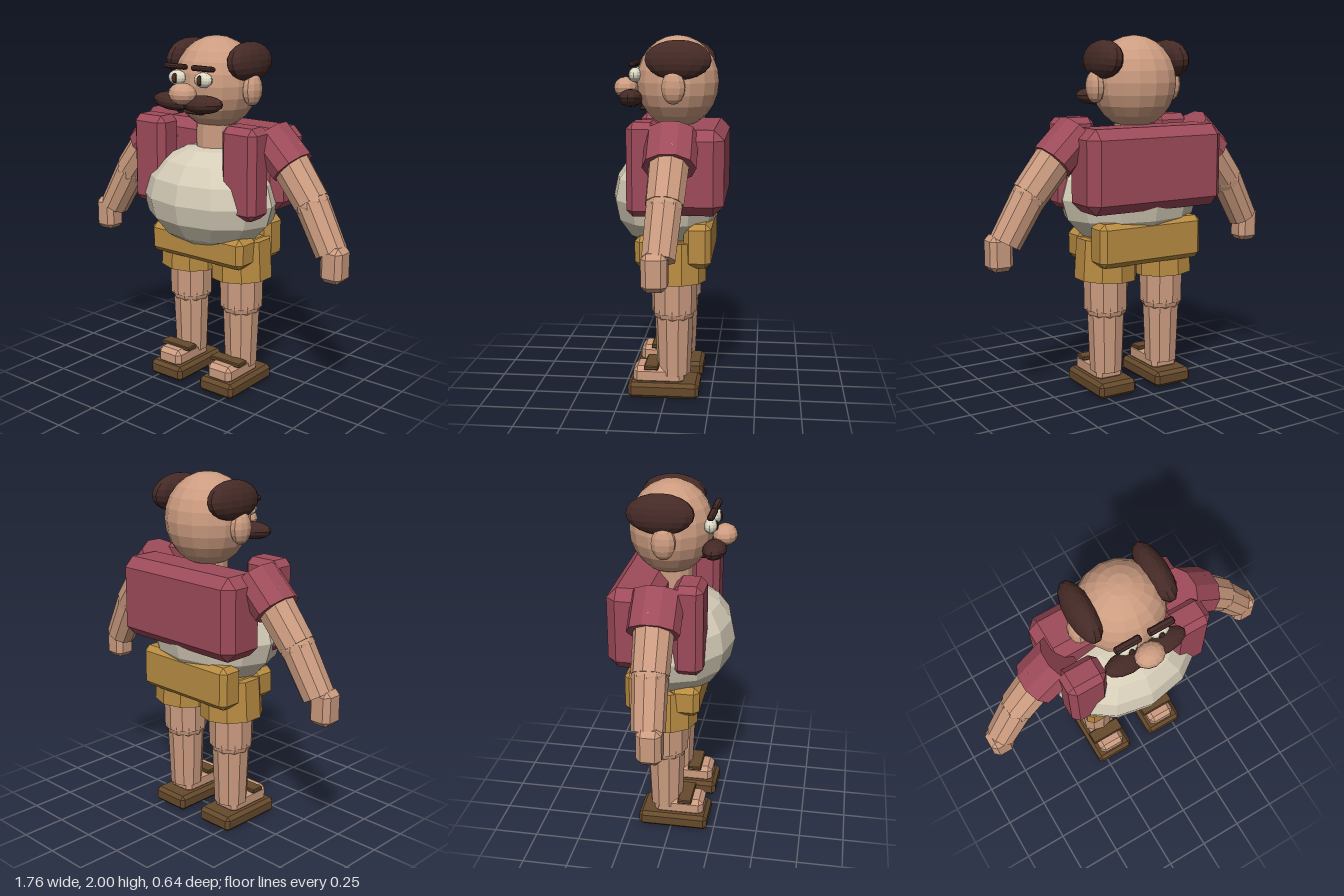
import * as THREE from 'three';
import { ConvexGeometry } from 'three/addons/geometries/ConvexGeometry.js';

const mat = (name, color) => {
  const m = new THREE.MeshStandardMaterial({ color });
  m.name = name;
  return m;
};

// Give every face its own flat normal
function facet(geometry) {
  const g = geometry.index ? geometry.toNonIndexed() : geometry;
  g.computeVertexNormals();
  return g;
}

// Box given by its bounds, with bevelled edges
function bevelBox(x, y, z, bevel) {
  const mid = [x, y, z].map(([a, b]) => (a + b) / 2);
  const half = [x, y, z].map(([a, b]) => Math.abs(b - a) / 2);
  const pts = [];
  for (const sx of [-1, 1]) for (const sy of [-1, 1]) for (const sz of [-1, 1])
    for (let k = 0; k < 3; k++) {
      const p = [sx, sy, sz].map((s, i) => s * (half[i] - (i === k ? 0 : bevel)));
      pts.push(new THREE.Vector3(...p));
    }
  return facet(new ConvexGeometry(pts)).translate(...mid);
}

function ellipsoid(center, radii, w = 12, h = 8, tilt = 0) {
  const g = new THREE.SphereGeometry(1, w, h).scale(...radii).rotateZ(tilt).translate(...center);
  return facet(g);
}

// Tapered limb from point a to point b, optionally deeper along z
function limb(a, b, ra, rb, sides = 10, depth = 1) {
  const A = new THREE.Vector3(...a), B = new THREE.Vector3(...b);
  const dir = B.clone().sub(A), len = dir.length();
  const g = new THREE.CylinderGeometry(rb, ra, len, sides).scale(1, 1, depth);
  g.applyQuaternion(new THREE.Quaternion().setFromUnitVectors(new THREE.Vector3(0, 1, 0), dir.normalize()));
  const c = A.add(B).multiplyScalar(0.5);
  return facet(g.translate(c.x, c.y, c.z));
}

export function createModel() {
  const root = new THREE.Group();
  root.name = 'stoutMan';
  const skin = mat('skin', 0xcc9c80);
  const red = mat('vest red', 0x9e4b5a);
  const cream = mat('shirt cream', 0xd6cdb8);
  const gold = mat('shorts gold', 0xb98c42);
  const hair = mat('hair brown', 0x452a26);
  const leather = mat('sandal brown', 0x664a2c);
  const white = mat('eye white', 0xdcd8c4);
  const dark = mat('pupil brown', 0x4a2c20);

  const add = (name, geometry, material) => {
    const m = new THREE.Mesh(geometry, material);
    m.name = name;
    root.add(m);
  };

  // Head and face
  add('head', ellipsoid([0, 1.745, -0.04], [0.24, 0.255, 0.23], 16, 12), skin);
  add('neck', limb([0, 1.38, -0.03], [0, 1.56, -0.03], 0.108, 0.105, 12), skin);
  add('nose', ellipsoid([0, 1.712, 0.25], [0.082, 0.059, 0.068], 12, 8), skin);
  add('mouth', bevelBox([-0.055, 0.055], [1.59, 1.615], [0.12, 0.165], 0.005), hair);

  // Torso
  add('belly', ellipsoid([0, 1.11, 0.015], [0.425, 0.295, 0.305], 12, 8), cream);
  add('vestBack', bevelBox([-0.425, 0.425], [1.06, 1.515], [-0.32, -0.04], 0.055), red);

  // Shorts waist: low front, high back, joined in the middle
  add('shortsFront', bevelBox([-0.325, 0.325], [0.757, 0.93], [0.0, 0.165], 0.03), gold);
  add('shortsBack', bevelBox([-0.325, 0.325], [0.757, 1.0], [-0.25, -0.1], 0.03), gold);
  add('shortsMiddle', bevelBox([-0.3, 0.3], [0.79, 0.9], [-0.15, 0.06], 0.01), gold);

  for (const s of [1, -1]) {
    const side = s > 0 ? 'left' : 'right';
    const part = (name, geometry, material) => add(side + name, geometry, material);
    const X = (a, b) => [s * a, s * b];

    // Side of the head
    part('Ear', ellipsoid([s * 0.245, 1.725, -0.04], [0.05, 0.09, 0.066], 10, 8), skin);
    part('HairTuft', ellipsoid([s * 0.21, 1.87, -0.062], [0.073, 0.106, 0.182], 14, 10, s * 0.15), hair);

    // Eye, brow and moustache half
    part('Eye', ellipsoid([s * 0.09, 1.785, 0.185], [0.056, 0.041, 0.036], 12, 8), white);
    part('Pupil', ellipsoid([s * 0.086, 1.785, 0.212], [0.02, 0.028, 0.014], 8, 6), dark);
    part('Brow', bevelBox(X(0.02, 0.168), [1.832, 1.86], [0.173, 0.212], 0.009), hair);
    part('Moustache', ellipsoid([s * 0.105, 1.66, 0.208], [0.128, 0.049, 0.065], 12, 8, s * 0.06), hair);

    // Vest front panel and sleeve
    part('VestPanel', bevelBox(X(0.2, 0.425), [1.055, 1.555], [0.03, 0.195], 0.035), red);
    part('Sleeve', limb([s * 0.36, 1.487, -0.045], [s * 0.515, 1.335, -0.045], 0.117, 0.117, 10, 1.2), red);

    // Arm and hand
    part('UpperArm', limb([s * 0.46, 1.4, -0.045], [s * 0.645, 1.165, -0.035], 0.108, 0.1), skin);
    part('Elbow', ellipsoid([s * 0.645, 1.16, -0.035], [0.098, 0.098, 0.098], 10, 8), skin);
    part('Forearm', limb([s * 0.645, 1.165, -0.035], [s * 0.785, 0.918, -0.02], 0.095, 0.088), skin);
    part('Hand', bevelBox(X(0.75, 0.882), [0.77, 0.965], [-0.07, 0.06], 0.028), skin);

    // Leg
    part('ShortsLeg', limb([s * 0.187, 0.662, -0.04], [s * 0.178, 0.89, -0.04], 0.178, 0.172), gold);
    part('Thigh', limb([s * 0.185, 0.485, -0.04], [s * 0.185, 0.7, -0.04], 0.125, 0.128), skin);
    part('Knee', ellipsoid([s * 0.185, 0.5, -0.04], [0.122, 0.1, 0.122], 10, 8), skin);
    part('Shin', limb([s * 0.185, 0.125, -0.04], [s * 0.185, 0.47, -0.04], 0.094, 0.108), skin);

    // Foot and sandal
    part('Foot', bevelBox(X(0.102, 0.268), [0.07, 0.172], [-0.1, 0.185], 0.025), skin);
    part('Sole', bevelBox(X(0.067, 0.303), [0, 0.088], [-0.187, 0.212], 0.02), leather);
    part('Strap', bevelBox(X(0.08, 0.29), [0.163, 0.186], [0.04, 0.12], 0.005), leather);
  }
  return root;
}
